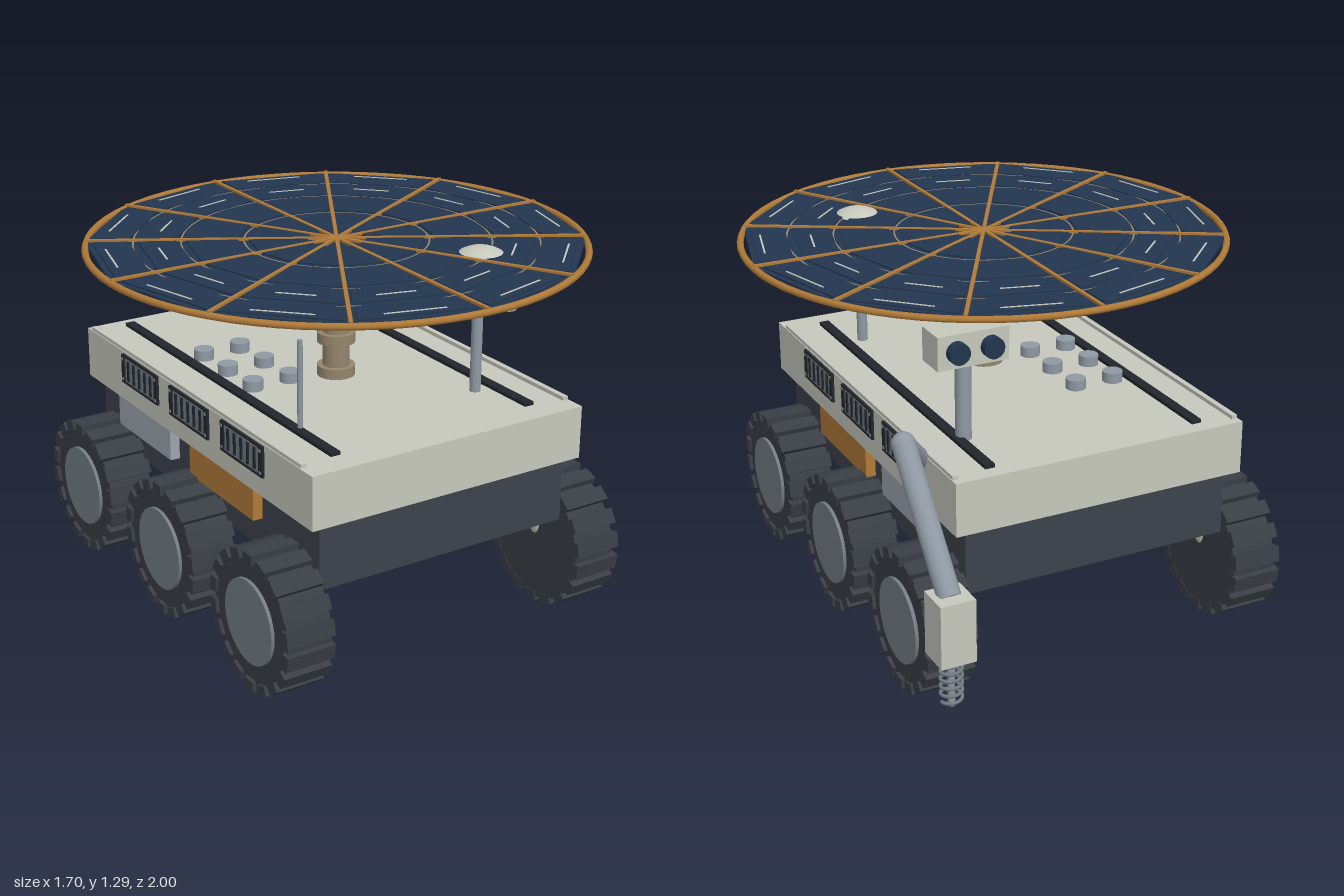
import * as THREE from 'three';

const mat = (name, color, side = THREE.FrontSide) => {
  const m = new THREE.MeshStandardMaterial({ color, side });
  m.name = name;
  return m;
};

export function createModel() {
  const M = {
    shell: mat('paleShell', 0xc6c8bc, THREE.DoubleSide),
    hull: mat('slateHull', 0x3d434c),
    tyre: mat('tyreDark', 0x393e45),
    hub: mat('hubGrey', 0x737d82),
    gold: mat('goldFoil', 0xb07a38),
    navy: mat('solarNavy', 0x22364f),
    tan: mat('mastTan', 0x94866f),
    metal: mat('paleMetal', 0x8f99a3),
    box: mat('boxGrey', 0x9da4ae),
    black: mat('trimBlack', 0x22262c),
  };
  const root = new THREE.Group();
  root.name = 'rover';

  const add = (parent, name, geo, material, x = 0, y = 0, z = 0) => {
    const mesh = new THREE.Mesh(geo, material);
    mesh.name = name;
    mesh.position.set(x, y, z);
    parent.add(mesh);
    return mesh;
  };
  const box = (p, name, m, w, h, d, x, y, z) => add(p, name, new THREE.BoxGeometry(w, h, d), m, x, y, z);
  const cyl = (p, name, m, r, h, x, y, z, n = 24) => add(p, name, new THREE.CylinderGeometry(r, r, h, n), m, x, y, z);
  const rod = (p, name, m, a, b, r, n = 20) => {
    const va = new THREE.Vector3(...a), vb = new THREE.Vector3(...b);
    const dir = vb.clone().sub(va);
    const mesh = cyl(p, name, m, r, dir.length(), 0, 0, 0, n);
    mesh.position.copy(va).add(vb).multiplyScalar(0.5);
    mesh.quaternion.setFromUnitVectors(new THREE.Vector3(0, 1, 0), dir.normalize());
    return mesh;
  };
  const group = (name, parent = root) => {
    const g = new THREE.Group();
    g.name = name;
    parent.add(g);
    return g;
  };

  // Body
  box(root, 'deck', M.shell, 1.05, 0.185, 1.55, 0, 0.6925, 0.055);
  box(root, 'hull', M.hull, 0.96, 0.23, 1.49, 0, 0.486, 0.055);

  // Everything mirrored on both flanks
  for (const s of [1, -1]) {
    box(root, 'deckRail', M.black, 0.035, 0.012, 1.4, s * 0.38, 0.791, 0.035);
    box(root, 'deckLip', M.shell, 0.02, 0.014, 1.45, s * 0.512, 0.791, 0.035);
    box(root, 'foilBox', M.gold, 0.06, 0.12, 0.425, s * 0.486, 0.541, 0.243);
    box(root, 'equipmentBox', M.box, 0.06, 0.12, 0.39, s * 0.486, 0.541, -0.305);

    // Louvred side vents
    for (const z of [0.413, 0.058, -0.298]) {
      const vent = group('sideVent');
      vent.position.set(s * 0.525, 0.725, z);
      box(vent, 'ventPlate', M.hub, 0.012, 0.105, 0.265, 0, 0, 0);
      for (let i = 0; i < 5; i++) box(vent, 'ventSlat', M.black, 0.022, 0.075, 0.011, 0, 0, (i - 2) * 0.042);
      for (const e of [1, -1]) {
        box(vent, 'ventFrameEnd', M.black, 0.02, 0.105, 0.022, 0, 0, e * 0.122);
        box(vent, 'ventFrameEdge', M.black, 0.018, 0.008, 0.265, 0, e * 0.05, 0);
        for (const v of [1, -1]) box(vent, 'ventScrew', M.hub, 0.026, 0.01, 0.01, 0, v * 0.038, e * 0.122);
      }
    }

    // Wheels with tread blocks and hub
    for (const z of [0.66, 0.057, -0.547]) {
      const wheel = group('wheel');
      wheel.position.set(s * 0.5725, 0.248, z);
      cyl(wheel, 'tyre', M.tyre, 0.225, 0.16, -s * 0.005, 0, 0, 36).rotation.z = Math.PI / 2;
      for (let i = 0; i < 18; i++) {
        const a = (i / 18) * Math.PI * 2;
        const block = box(wheel, 'treadBlock', M.tyre, 0.175, 0.034, 0.052, 0, Math.cos(a) * 0.226, Math.sin(a) * 0.226);
        block.rotation.x = a;
      }
      cyl(wheel, 'hub', M.hub, 0.145, 0.02, s * 0.077, 0, 0, 36).rotation.z = Math.PI / 2;
      rod(root, 'wheelStrut', M.shell, [s * 0.4, 0.43, z], [s * 0.53, 0.25, z], 0.028);
    }
  }

  // Deck buttons
  for (const x of [-0.17, -0.315])
    for (const z of [-0.22, -0.05, 0.12]) cyl(root, 'deckButton', M.metal, 0.035, 0.04, x, 0.802, z);

  // Central mast
  const cz = 0.148;
  cyl(root, 'mast', M.tan, 0.046, 0.47, 0, 1.015, cz);
  for (const y of [0.803, 0.923, 1.08, 1.2]) cyl(root, 'mastCollar', M.tan, 0.066, 0.036, 0, y, cz);

  // Solar disc: twelve-sided panel inside a round rim
  const solar = group('solarDisc');
  solar.position.set(0, 1.26, cz);
  const panel = new THREE.CylinderGeometry(0.84, 0.84, 0.014, 12);
  add(solar, 'solarPanel', panel, M.navy);
  const rim = add(solar, 'solarRim', new THREE.TorusGeometry(0.838, 0.012, 8, 72), M.gold);
  rim.rotation.x = Math.PI / 2;
  for (const r of [0.31, 0.52, 0.68]) {
    const ring = add(solar, 'solarRing', new THREE.RingGeometry(r - 0.003, r + 0.003, 72), M.tan, 0, 0.0085, 0);
    ring.rotation.x = -Math.PI / 2;
  }
  // One raised cell per ring band in each sector, bounded by straight chords
  const bands = [[0.1, 0.295], [0.33, 0.505], [0.535, 0.665], [0.695, 0.815]];
  const half = Math.PI / 12 - 0.025;
  const cells = bands.map(([r0, r1]) => {
    const pts = [[r0, -half], [r1, -half], [r1, half], [r0, half]];
    const shape = new THREE.Shape(pts.map(([r, a]) => new THREE.Vector2(r * Math.cos(a), r * Math.sin(a))));
    return new THREE.ExtrudeGeometry(shape, { depth: 0.005, bevelEnabled: false }).rotateX(-Math.PI / 2);
  });
  for (let i = 0; i < 12; i++) {
    const sector = group('solarSector', solar);
    sector.rotation.y = (i * Math.PI) / 6;
    box(sector, 'solarSpoke', M.gold, 0.84, 0.008, 0.013, 0.42, 0.011, 0);
    const mid = group('sectorCells', sector);
    mid.rotation.y = Math.PI / 12;
    for (const g of cells) add(mid, 'solarCell', g, M.navy, 0, 0.007, 0);
    box(mid, 'cellContact', M.shell, 0.006, 0.003, 0.2, 0.765, 0.0125, 0);
    box(mid, 'cellContact', M.shell, 0.006, 0.003, 0.13, 0.595, 0.0125, 0);
  }

  // Tilted open dish on its post
  rod(root, 'dishPost', M.metal, [0.31, 0.785, 0.53], [0.31, 1.16, 0.53], 0.019);
  const dome = new THREE.SphereGeometry(0.142, 32, 14, 0, Math.PI * 2, 0, Math.PI / 2);
  const dish = add(root, 'dish', dome, M.shell, 0.315, 1.15, 0.53);
  dish.quaternion.setFromUnitVectors(new THREE.Vector3(0, 1, 0), new THREE.Vector3(0.34, 0.89, 0.29).normalize());

  // Whip antenna
  cyl(root, 'antenna', M.metal, 0.009, 0.31, -0.37, 0.94, 0.51, 12);

  // Twin-lens camera facing the rear
  cyl(root, 'cameraPost', M.metal, 0.027, 0.3, 0.355, 0.925, -0.42);
  box(root, 'cameraHead', M.shell, 0.25, 0.115, 0.115, 0.352, 1.122, -0.437);
  for (const x of [0.292, 0.412]) cyl(root, 'cameraLens', M.navy, 0.036, 0.04, x, 1.122, -0.505).rotation.x = Math.PI / 2;

  // Sampling arm
  const shoulder = [0.5, 0.73, -0.42], elbow = [0.66, 0.915, -0.635], wrist = [0.652, 0.53, -0.935];
  rod(root, 'upperArm', M.metal, shoulder, elbow, 0.034);
  rod(root, 'forearm', M.metal, elbow, wrist, 0.038);
  add(root, 'elbowJoint', new THREE.SphereGeometry(0.039, 20, 14), M.metal, ...elbow);
  box(root, 'toolHead', M.shell, 0.118, 0.215, 0.118, 0.652, 0.433, -0.941);
  cyl(root, 'drillRod', M.metal, 0.012, 0.18, 0.652, 0.245, -0.941, 12);
  const coil = [];
  for (let i = 0; i <= 72; i++) {
    const a = (i / 12) * Math.PI * 2;
    coil.push(new THREE.Vector3(Math.cos(a) * 0.034, 0.33 - (i / 72) * 0.155, Math.sin(a) * 0.034));
  }
  add(root, 'drillSpring', new THREE.TubeGeometry(new THREE.CatmullRomCurve3(coil), 160, 0.006, 6), M.hub, 0.652, 0, -0.941);

  return root;
}
